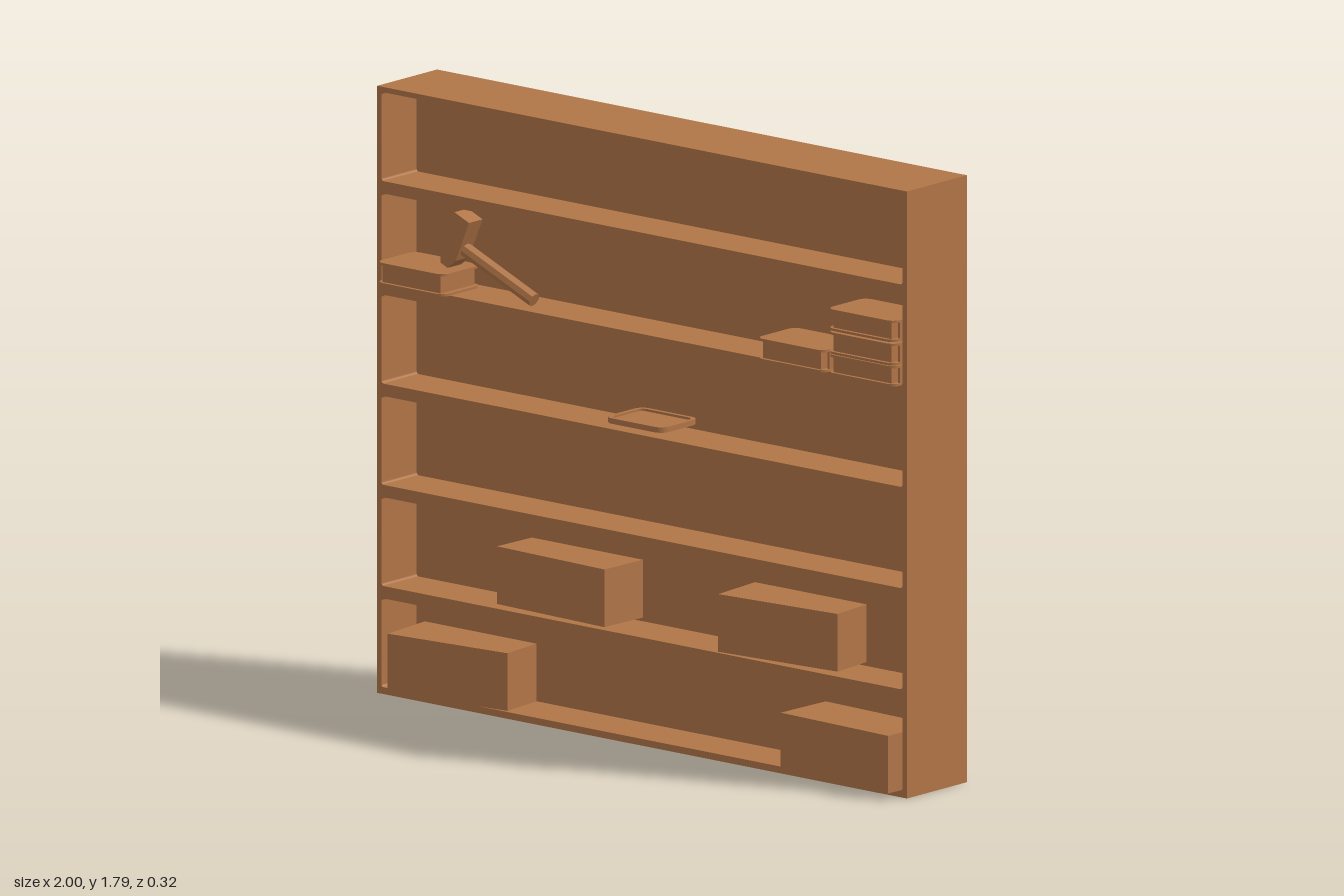
import * as THREE from 'three';

const wood = new THREE.MeshStandardMaterial({ color: 0xb17547 });
wood.name = 'wood';

function add(parent, geometry, name, x = 0, y = 0, z = 0) {
  const mesh = new THREE.Mesh(geometry, wood);
  mesh.name = name;
  mesh.position.set(x, y, z);
  parent.add(mesh);
  return mesh;
}

// Rounded rectangle centred on (cx, cy)
function roundRect(target, w, h, r, cx = 0, cy = 0) {
  const x = w / 2 - r, y = h / 2 - r;
  target.absarc(cx + x, cy + y, r, 0, Math.PI / 2);
  target.absarc(cx - x, cy + y, r, Math.PI / 2, Math.PI);
  target.absarc(cx - x, cy - y, r, Math.PI, Math.PI * 1.5);
  target.absarc(cx + x, cy - y, r, Math.PI * 1.5, Math.PI * 2);
  target.closePath();
  return target;
}

// Horizontal slab with rounded corners, standing on y = 0
function slab(w, d, h, r) {
  const shape = roundRect(new THREE.Shape(), w, d, r);
  return new THREE.ExtrudeGeometry(shape, { depth: h, bevelEnabled: false, curveSegments: 4 })
    .rotateX(-Math.PI / 2);
}

// Closed book lying flat: two covers, inset pages and a spine at one end
function makeBook(name, x, y, w, h, spineSide) {
  const book = new THREE.Group();
  const d = 0.17, t = 0.007;
  book.name = name;
  book.position.set(x, y, 0.135 - d / 2);
  add(book, slab(w, d, t, 0.028), 'bottomCover');
  add(book, slab(w, d, t, 0.028), 'topCover', 0, h - t);
  add(book, new THREE.BoxGeometry(w - 0.036, h - 2 * t, d - 0.02), 'pages', 0, h / 2);
  add(book, new THREE.BoxGeometry(0.008, h - 2 * t, d - 0.06), 'spine', spineSide * (w / 2 - 0.006), h / 2);
  return book;
}

export function createModel() {
  const model = new THREE.Group();
  model.name = 'bookcase';

  // Frame with six shelf openings, and the thick back
  const front = new THREE.Shape([[-1, 0], [1, 0], [1, 1.79], [-1, 1.79]].map(p => new THREE.Vector2(...p)));
  for (let i = 0; i < 6; i++) {
    front.holes.push(roundRect(new THREE.Path(), 1.966, 0.262, 0.008, 0, 0.151 + i * 0.2985));
  }
  add(model, new THREE.ExtrudeGeometry(front, { depth: 0.155, bevelEnabled: false, curveSegments: 3 }),
    'shelfFrame', 0, 0, -0.05);
  add(model, new THREE.BoxGeometry(2, 1.79, 0.11), 'backPanel', 0, 0.895, -0.105);

  // Storage boxes, each turned a little: x, base y, z, turn in degrees
  const boxes = [
    [-0.735, 0.02, 0.02, 5.5],
    [0.767, 0.02, 0.053, -2.3],
    [-0.341, 0.33, 0.01, -2.3],
    [0.511, 0.33, 0.018, 5],
  ];
  for (const [x, y, z, turn] of boxes) {
    add(model, new THREE.BoxGeometry(0.42, 0.17, 0.19), 'storageBox', x, y + 0.085, z)
      .rotation.y = THREE.MathUtils.degToRad(turn);
  }

  // Books on the fifth shelf
  model.add(
    makeBook('leftBook', -0.852, 1.214, 0.255, 0.066, -1),
    makeBook('middleBook', 0.583, 1.214, 0.255, 0.066, 1),
    makeBook('stackBookLow', 0.849, 1.214, 0.255, 0.06, 1),
    makeBook('stackBookMid', 0.849, 1.276, 0.255, 0.064, 1),
    makeBook('stackBookTop', 0.849, 1.345, 0.255, 0.063, 1),
  );

  // Hammer resting its head on the left book
  const hammer = new THREE.Group();
  hammer.name = 'hammer';
  hammer.position.set(-0.735, 1.365, 0.05);
  hammer.rotation.z = -0.4;
  const head = new THREE.Shape([
    [-0.03, 0.085], [0.03, 0.085], [0.03, -0.045], [0.012, -0.08], [-0.018, -0.08], [-0.035, -0.03],
  ].map(p => new THREE.Vector2(...p)));
  add(hammer, new THREE.ExtrudeGeometry(head, { depth: 0.06, bevelEnabled: false }), 'hammerHead', 0, 0, -0.03);
  const handle = new THREE.CylinderGeometry(0.021, 0.021, 0.29, 8).rotateZ(Math.PI / 2);
  add(hammer, handle.toNonIndexed(), 'hammerHandle', 0.165, -0.012, 0).geometry.computeVertexNormals();
  model.add(hammer);

  // Flat tray with a raised rim
  const tray = new THREE.Group();
  tray.name = 'tray';
  tray.position.set(-0.016, 0.938, 0.043);
  add(tray, slab(0.22, 0.165, 0.009, 0.03), 'trayBase');
  const rim = roundRect(new THREE.Shape(), 0.22, 0.165, 0.03);
  rim.holes.push(roundRect(new THREE.Path(), 0.195, 0.14, 0.02));
  add(tray, new THREE.ExtrudeGeometry(rim, { depth: 0.007, bevelEnabled: false, curveSegments: 4 })
    .rotateX(-Math.PI / 2), 'trayRim', 0, 0.009);
  model.add(tray);

  return model;
}
